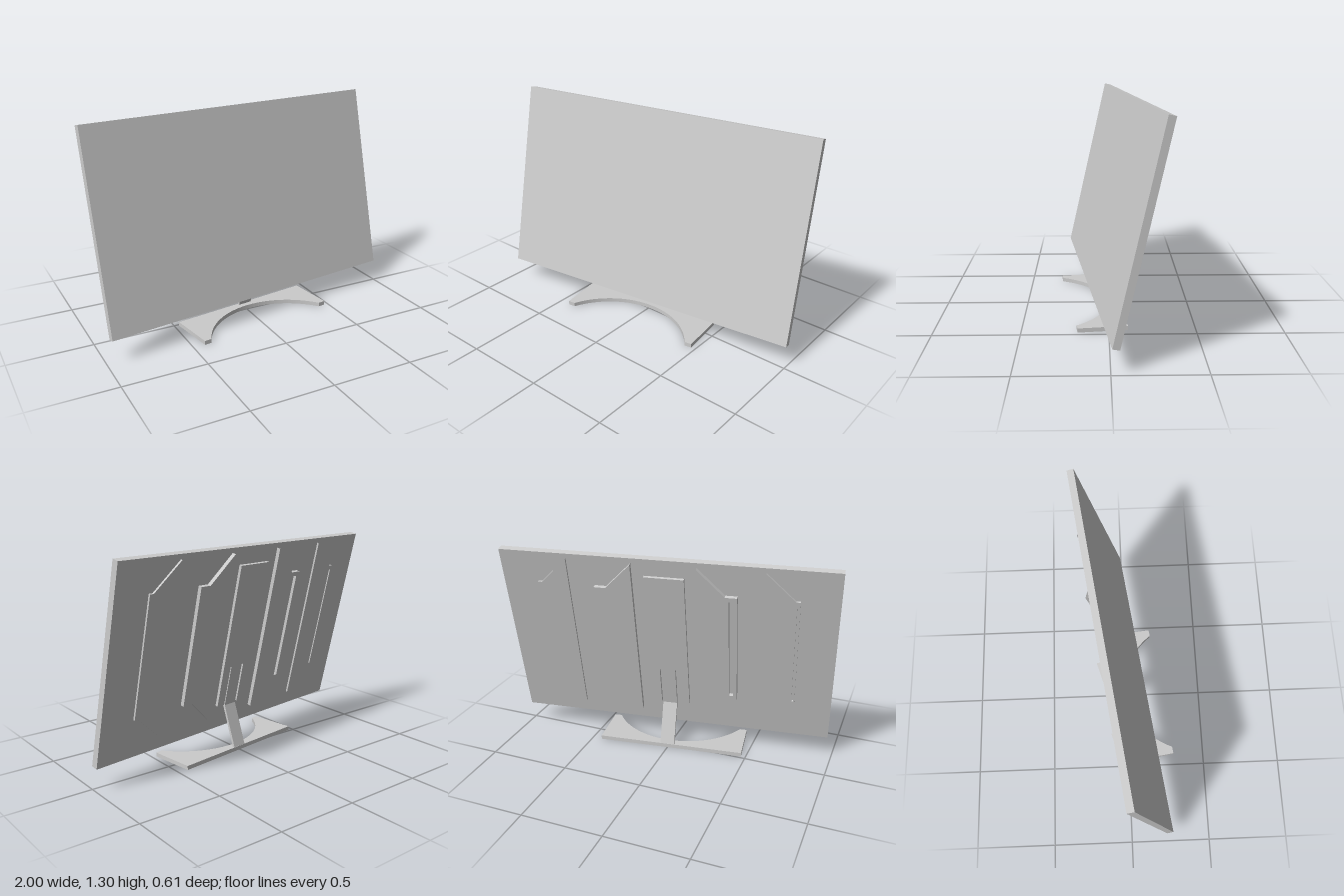
import * as THREE from 'three';

const YAW = 0.136, TILT = -0.224;
const W = 1.978, H = 1.185, T = 0.041;
const material = new THREE.MeshStandardMaterial({ color: 0xcccccc });

function part(name, geometry, parent) {
  const mesh = new THREE.Mesh(geometry, material);
  mesh.name = name;
  parent.add(mesh);
  return mesh;
}

const outline = (points) => new THREE.Shape(points.map(([x, y]) => new THREE.Vector2(x, y)));

function extrude(shape, depth) {
  return new THREE.ExtrudeGeometry(shape, { depth, bevelEnabled: false, curveSegments: 32 });
}

// Raised plate on the back of the screen
function backPlate(name, shape, depth, parent) {
  part(name, extrude(shape, depth), parent).position.z = -T - depth;
}

// Tall inner edge, slanted ends, and a slotted bar along the outer edge
function ventShape(side, inner, barIn, barOut, slotIn, slotOut) {
  const s = side;
  const shape = outline([
    [s * inner, 0.563], [s * barIn, 0.397], [s * barOut, 0.397],
    [s * barOut, -0.344], [s * barIn, -0.344], [s * inner, -0.498],
  ]);
  shape.holes.push(outline([
    [s * slotIn, 0.37], [s * slotOut, 0.37], [s * slotOut, -0.317], [s * slotIn, -0.317],
  ]));
  return shape;
}

export function createModel() {
  const model = new THREE.Group();
  model.name = 'monitor';

  // Screen, turned and leaning back
  const screen = new THREE.Group();
  screen.name = 'screen';
  screen.rotation.set(TILT, YAW, 0, 'YXZ');
  screen.position.set(0, 0.7175, -0.003);
  model.add(screen);
  part('screenPanel', new THREE.BoxGeometry(W, H, T), screen).position.z = -T / 2;

  // Back vents, mirrored
  for (const side of [1, -1]) {
    backPlate('innerVent', ventShape(side, 0.19, 0.35, 0.42, 0.372, 0.398), 0.024, screen);
    backPlate('outerVent', ventShape(side, 0.577, 0.745, 0.77, 0.752, 0.763), 0.012, screen);
  }

  // Centre back panel with a channel for the neck
  backPlate('centerPanel', outline([
    [-0.118, 0.486], [-0.118, -0.427], [-0.05, -0.427], [-0.05, -0.166],
    [0.06, -0.166], [0.06, -0.427], [0.118, -0.427], [0.118, 0.486],
  ]), 0.018, screen);

  // Stand shares the turn of the screen but stays upright
  const stand = new THREE.Group();
  stand.name = 'stand';
  stand.rotation.y = YAW;
  model.add(stand);

  // Bent neck: side profile in z and y, extruded across x
  const neck = extrude(outline([
    [-0.034, 0.02], [0.052, 0.285], [-0.008, 0.555],
    [-0.025, 0.551], [0.036, 0.283], [-0.05, 0.02],
  ]), 0.09);
  neck.rotateY(-Math.PI / 2);
  neck.translate(0.053, 0, 0);
  part('neck', neck, stand);

  // Base with a straight rear edge and an arched front
  const foot = outline([[-0.46, 0.05], [-0.455, -0.24], [-0.41, -0.24]]);
  foot.absarc(0, -0.47, 0.47, Math.PI - 0.511, 0.511, true);
  foot.lineTo(0.455, -0.24);
  foot.lineTo(0.46, 0.05);
  const base = extrude(foot, 0.025);
  base.rotateX(-Math.PI / 2);
  base.translate(-0.01, 0, 0);
  part('base', base, stand);

  return model;
}
